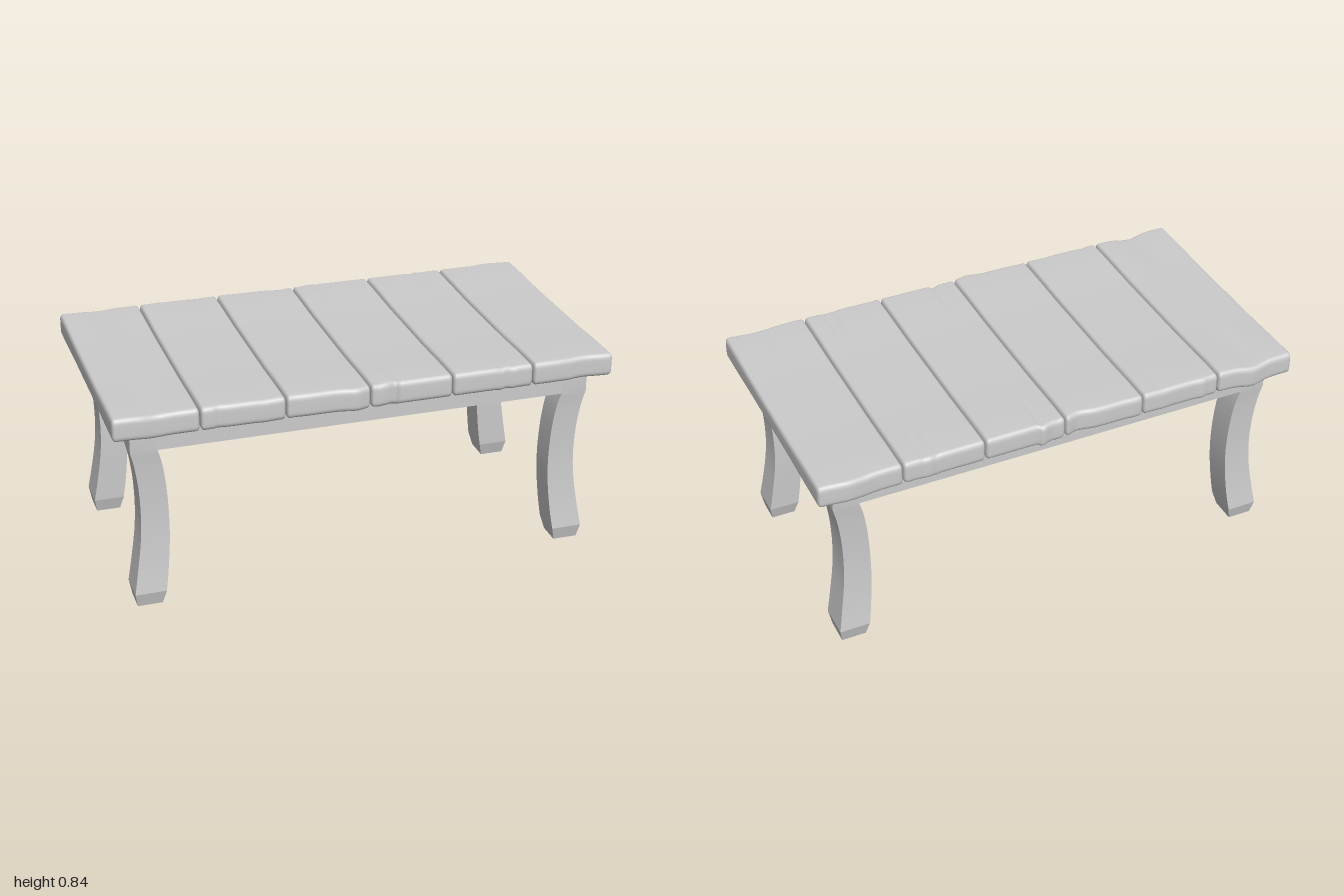
import * as THREE from 'three';
import { mergeVertices, toCreasedNormals } from 'three/addons/utils/BufferGeometryUtils.js';

const grey = new THREE.MeshStandardMaterial({ color: 0xcccccc });

function addMesh(parent, name, geometry) {
  const mesh = new THREE.Mesh(geometry, grey);
  mesh.name = name;
  parent.add(mesh);
  return mesh;
}

function addBox(parent, name, w, h, d, x, y, z) {
  addMesh(parent, name, new THREE.BoxGeometry(w, h, d)).position.set(x, y, z);
}

// Spread grid lines so that the outer three cells at each end cover the rounded edge
function spread(t, n, half, r) {
  const i = Math.round((t + 0.5) * n);
  if (i <= 3) return -half + (r * i) / 3;
  if (i >= n - 3) return half - (r * (n - i)) / 3;
  return -half + r + ((2 * half - 2 * r) * (i - 3)) / (n - 6);
}

// Worn spots: [x, sideways shift, width to the right, width to the left]
const worn = [[-0.82, -0.012, 0.06, 0.05], [-0.6, -0.005, 0.03, 0.012], [-0.3, -0.003, 0.03, 0.03],
  [-0.06, 0.013, 0.035, 0.05], [0.1, -0.012, 0.009, 0.03], [0.56, -0.004, 0.015, 0.02],
  [0.88, -0.01, 0.06, 0.07]];
// Shallow grain grooves across the ends: [x, depth, width]
const grooves = [[-0.83, 0.009, 0.06], [-0.42, 0.002, 0.03], [0.03, 0.002, 0.012],
  [0.1, 0.004, 0.012], [0.53, 0.003, 0.012], [0.58, 0.003, 0.012], [0.82, 0.002, 0.03]];
const bell = (x, c, w) => Math.exp(-(((x - c) / w) ** 2));

// A plank with rounded edges, thinner in the middle and uneven at its ends
function plankGeometry(x0, x1) {
  const n = [48, 9, 26], half = [(x1 - x0) / 2, 0.047, 0.532], r = [0.013, 0.023, 0.018];
  let g = new THREE.BoxGeometry(1, 1, 1, ...n);
  g.deleteAttribute('normal');
  g.deleteAttribute('uv');
  g = mergeVertices(g);
  const pos = g.attributes.position;
  for (let v = 0; v < pos.count; v++) {
    const p = [pos.getX(v), pos.getY(v), pos.getZ(v)].map((t, k) => spread(t, n[k], half[k], r[k]));
    const core = p.map((c, k) => THREE.MathUtils.clamp(c, -half[k] + r[k], half[k] - r[k]));
    const off = p.map((c, k) => (c - core[k]) / r[k]);
    const len = Math.hypot(...off) || 1;
    let [x, y, z] = core.map((c, k) => c + (off[k] / len) * r[k]);
    x += (x0 + x1) / 2;
    const end = THREE.MathUtils.smoothstep(Math.abs(z), 0.17, 0.45);
    y *= 0.87 + 0.13 * end;
    for (const [c, d, w] of grooves) y -= d * end * bell(x, c, w);
    for (const [c, s, wr, wl] of worn) z += s * bell(x, c, x > c ? wr : wl);
    pos.setXYZ(v, x, y + 0.797, z);
  }
  g.computeVertexNormals();
  return g;
}

// Square leg lofted through rows of [y, outer x, inner x, outer z, inner z]
function legGeometry(sx, sz) {
  const curve = [[0.058, 0.934, 0.81, 0.472, 0.343], [0.15, 0.918, 0.797, 0.461, 0.34],
    [0.27, 0.9, 0.786, 0.452, 0.337], [0.38, 0.893, 0.784, 0.448, 0.337],
    [0.5, 0.897, 0.79, 0.45, 0.341], [0.6, 0.91, 0.803, 0.455, 0.347], [0.665, 0.925, 0.82, 0.461, 0.354]];
  const rows = [[0, 0.924, 0.825, 0.457, 0.36]];
  const splines = [1, 2, 3, 4].map((k) =>
    new THREE.SplineCurve(curve.map((c) => new THREE.Vector2(c[0], c[k]))));
  for (let i = 0; i <= 18; i++) {
    const pts = splines.map((s) => s.getPoint(i / 18));
    rows.push([pts[0].x, ...pts.map((p) => p.y)]);
  }
  rows.push([0.752, 0.925, 0.82, 0.461, 0.354]);
  const verts = [], index = [];
  const thicker = sz < 0 ? 0.01 : 0; // the back legs are a little deeper
  for (const [y, xo, xi, zo, zIn] of rows) {
    const zi = zIn - thicker;
    verts.push(sx * xo, y, sz * zo, sx * xo, y, sz * zi, sx * xi, y, sz * zi, sx * xi, y, sz * zo);
  }
  const quad = (a, b, c, d) => (sx * sz > 0 ? index.push(a, b, c, a, c, d) : index.push(a, c, b, a, d, c));
  for (let i = 0; i < rows.length - 1; i++) {
    for (let k = 0; k < 4; k++) {
      const a = i * 4 + k, b = i * 4 + ((k + 1) % 4);
      quad(a, b, b + 4, a + 4);
    }
  }
  const t = (rows.length - 1) * 4;
  quad(3, 2, 1, 0);
  quad(t, t + 1, t + 2, t + 3);
  const g = new THREE.BufferGeometry();
  g.setAttribute('position', new THREE.Float32BufferAttribute(verts, 3));
  g.setIndex(index);
  return toCreasedNormals(g, 0.2);
}

export function createModel() {
  const table = new THREE.Group();
  table.name = 'table';

  // Six planks side by side
  const top = new THREE.Group();
  top.name = 'tabletop';
  table.add(top);
  const seams = [-1, -0.667, -0.335, -0.002, 0.331, 0.664, 1];
  for (let i = 0; i < 6; i++) {
    const x0 = seams[i] + (i > 0 ? 0.002 : 0), x1 = seams[i + 1] - (i < 5 ? 0.002 : 0);
    addMesh(top, 'plank' + (i + 1), plankGeometry(x0, x1));
  }

  // Frame under the top, closed by a recessed panel
  const frame = new THREE.Group();
  frame.name = 'frame';
  table.add(frame);
  addBox(frame, 'frontRail', 1.64, 0.09, 0.107, 0, 0.71, 0.4075);
  addBox(frame, 'backRail', 1.64, 0.09, 0.117, 0, 0.71, -0.4025);
  for (const s of [-1, 1]) {
    addBox(frame, s > 0 ? 'leftRail' : 'rightRail', 0.105, 0.09, 0.698, s * 0.8725, 0.71, 0.005);
  }
  addBox(frame, 'underPanel', 1.66, 0.04, 0.73, 0, 0.736, 0);

  // Four curved legs
  for (const sx of [-1, 1]) {
    for (const sz of [-1, 1]) {
      addMesh(table, (sz > 0 ? 'front' : 'back') + (sx > 0 ? 'Left' : 'Right') + 'Leg', legGeometry(sx, sz));
    }
  }
  return table;
}
